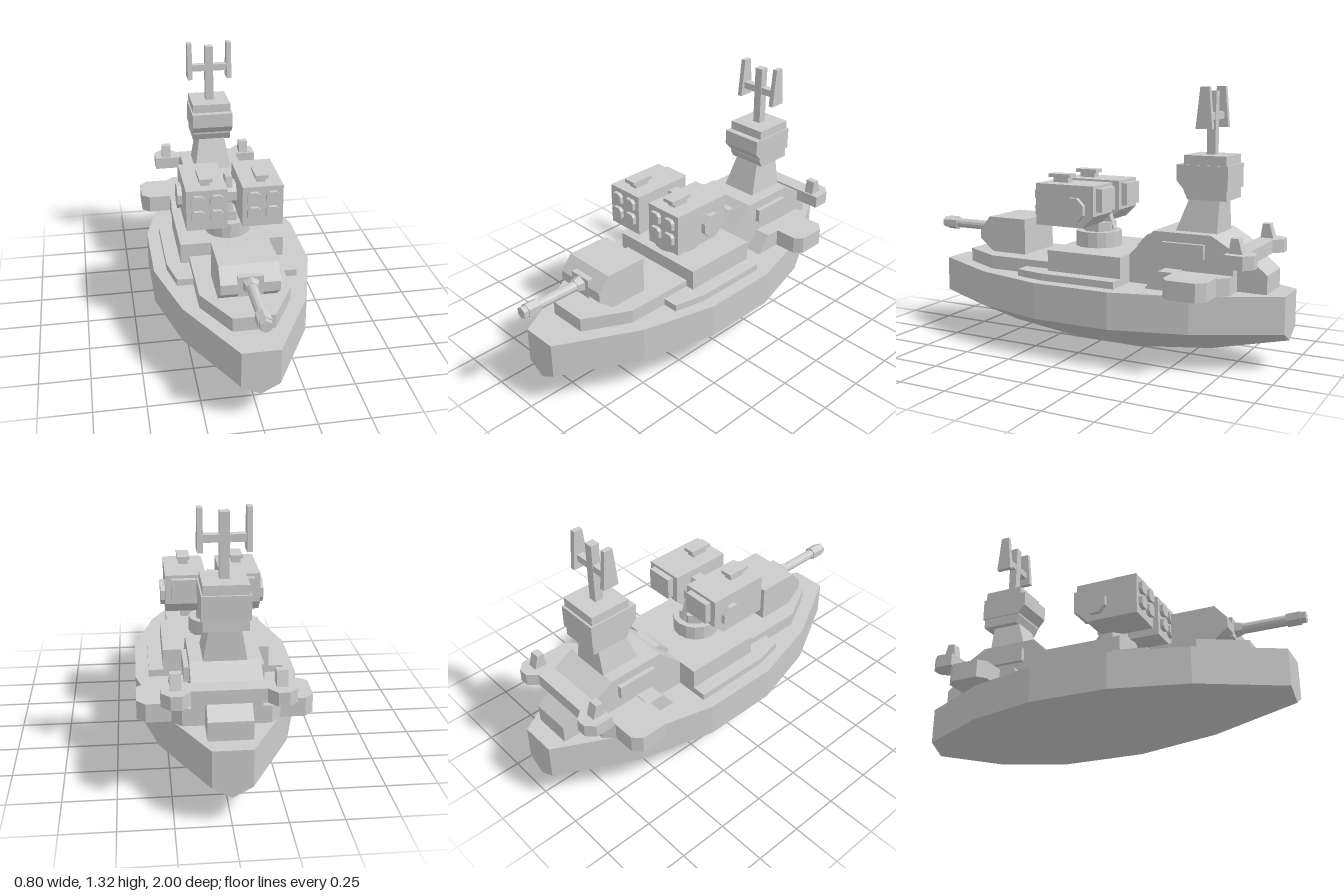
import * as THREE from 'three';

const grey = new THREE.MeshStandardMaterial({ color: 0xcccccc, flatShading: true });

export function createModel() {
  const root = new THREE.Group();

  const add = (name, geo, x = 0, y = 0, z = 0) => {
    const m = new THREE.Mesh(geo, grey);
    m.name = name;
    m.position.set(x, y, z);
    root.add(m);
    return m;
  };
  // Box given by its limits
  const box = (name, x0, x1, y0, y1, z0, z1) =>
    add(name, new THREE.BoxGeometry(x1 - x0, y1 - y0, z1 - z0), (x0 + x1) / 2, (y0 + y1) / 2, (z0 + z1) / 2);
  const shapeOf = pts => new THREE.Shape(pts.map(p => new THREE.Vector2(p[0], p[1])));
  // Side profile of [z, y] points, spanning x0..x1
  const side = (name, pts, x0, x1) => {
    const g = new THREE.ExtrudeGeometry(shapeOf(pts), { depth: x1 - x0, bevelEnabled: false });
    return add(name, g.rotateY(-Math.PI / 2), x1);
  };
  // Plan outline of [x, z] points, spanning y0..y1
  const plan = (name, pts, y0, y1) => {
    const g = new THREE.ExtrudeGeometry(shapeOf(pts.map(([x, z]) => [x, -z])), { depth: y1 - y0, bevelEnabled: false });
    return add(name, g.rotateX(-Math.PI / 2), 0, y0);
  };
  // Completes a half outline (x > 0) with its mirror image
  const both = half => [...half, ...half.map(([x, z]) => [-x, z]).reverse()];
  // Stack of cross-sections, each a loop of points counterclockwise from +z, ordered front to back
  const loft = (name, sections) => {
    const n = sections[0].length, idx = [], last = (sections.length - 1) * n;
    for (let i = 0; i < sections.length - 1; i++)
      for (let j = 0; j < n; j++) {
        const a = i * n + j, b = i * n + (j + 1) % n;
        idx.push(a, b + n, b, a, a + n, b + n);
      }
    for (let j = 1; j < n - 1; j++) idx.push(0, j, j + 1, last, last + j + 1, last + j);
    const g = new THREE.BufferGeometry();
    g.setAttribute('position', new THREE.Float32BufferAttribute(sections.flat(2), 3));
    g.setIndex(idx);
    const flat = g.toNonIndexed();
    flat.computeVertexNormals();
    return add(name, flat);
  };

  // Hull: slab sides over a shallow V bottom
  const stations = [
    [0.92, 0.09, 0.14], [0.53, 0.3, 0.045], [0.16, 0.4, 0],
    [-0.24, 0.4, 0], [-0.61, 0.3, 0.045], [-1, 0.09, 0.14],
  ];
  loft('hull', stations.map(([z, w, k]) =>
    [[w, 0.37, z], [-w, 0.37, z], [-w, 0.19, z], [0, k, z], [w, 0.19, z]]));

  // Decks
  plan('foredeck', both([[0.1, 0.75], [0.22, 0.53], [0.22, -0.24]]), 0.37, 0.44);
  plan('sideDeck', both([[0.3, 0.32], [0.335, 0.16], [0.335, -0.24]]), 0.37, 0.405);
  box('raisedDeck', -0.263, 0.263, 0.405, 0.51, -0.24, 0.165);

  // Superstructure
  side('deckhouse', [[-0.24, 0.37], [-0.24, 0.51], [-0.365, 0.635], [-0.66, 0.635], [-0.77, 0.57], [-0.77, 0.37]], -0.16, 0.16);
  side('bridgeWindow', [[-0.25, 0.52], [-0.24, 0.54], [-0.295, 0.6], [-0.33, 0.6]], -0.075, 0.075);
  side('sternHouse', [[-0.74, 0.37], [-0.74, 0.57], [-0.83, 0.53], [-0.915, 0.46], [-0.915, 0.37]], -0.1, 0.1);
  plan('aftPlatform', both([[0.24, -0.77], [0.295, -0.77], [0.295, -0.86], [0.255, -0.9], [0.205, -0.9], [0.165, -0.855]]), 0.515, 0.58);

  for (const s of [-1, 1]) {
    const span = (a, b) => (s > 0 ? [a, b] : [-b, -a]);
    side('sideHouseRamp', [[-0.36, 0.37], [-0.43, 0.46], [-0.52, 0.46], [-0.52, 0.37]], ...span(0.15, 0.245));
    plan('sideHouse', [[0.15, -0.5], [0.245, -0.5], [0.245, -0.72], [0.2, -0.77], [0.15, -0.77]].map(([x, z]) => [s * x, z]), 0.37, 0.455);
    plan('sponson', [[0.22, -0.505], [0.36, -0.505], [0.4, -0.54], [0.4, -0.68], [0.36, -0.72], [0.22, -0.72]].map(([x, z]) => [s * x, z]), 0.37, 0.46);
    box('sidePanel', ...span(0.15, 0.183), 0.52, 0.59, -0.63, -0.42);
    side('aftPost', [[-0.78, 0.58], [-0.79, 0.65], [-0.825, 0.65], [-0.845, 0.58]], ...span(0.205, 0.255));
  }

  // Tower, tapering towards the cabin
  const tower = new THREE.BoxGeometry(1, 1, 1);
  const tp = tower.attributes.position;
  for (let i = 0; i < tp.count; i++) {
    const top = tp.getY(i) > 0;
    tp.setXYZ(i, Math.sign(tp.getX(i)) * (top ? 0.07 : 0.1), top ? 0.8 : 0.63,
      tp.getZ(i) > 0 ? (top ? -0.515 : -0.455) : -0.665);
  }
  add('tower', tower);
  side('cabin', [[-0.495, 1], [-0.495, 0.83], [-0.515, 0.79], [-0.71, 0.79], [-0.705, 1]], -0.103, 0.103);
  side('cabinBand', [[-0.46, 0.955], [-0.46, 0.88], [-0.495, 0.84], [-0.717, 0.84], [-0.717, 0.955]], -0.11, 0.11);

  // Mast with two tapered aerials
  box('mast', -0.022, 0.022, 1, 1.3, -0.62, -0.577);
  box('mastCrossbar', -0.1, 0.1, 1.165, 1.2, -0.618, -0.58);
  for (const x of [-0.12, 0.095])
    side('aerial', [[-0.557, 1.125], [-0.578, 1.32], [-0.622, 1.32], [-0.64, 1.125]], x, x + 0.025);

  // Bow gun
  side('gunTurret', [[0.66, 0.56], [0.6, 0.63], [0.38, 0.63], [0.38, 0.445], [0.58, 0.445], [0.66, 0.51]], -0.14, 0.14);
  side('gunMantlet', [[0.58, 0.595], [0.66, 0.595], [0.66, 0.495], [0.58, 0.495]], -0.06, 0.06);
  const rod = (name, r0, r1, sides, z0, z1) =>
    add(name, new THREE.CylinderGeometry(r1, r0, z1 - z0, sides).rotateX(Math.PI / 2), 0, 0.553, (z0 + z1) / 2);
  rod('gunCollar', 0.045, 0.032, 6, 0.65, 0.695);
  rod('gunBarrel', 0.026, 0.026, 12, 0.66, 0.93);
  rod('gunMuzzle', 0.036, 0.036, 6, 0.91, 0.975);
  rod('gunMuzzleTip', 0.03, 0.03, 6, 0.975, 1);

  // Missile launcher mount
  add('launcherBase', new THREE.CylinderGeometry(0.118, 0.118, 0.08, 16), 0, 0.548, 0.015);
  add('launcherNeck', new THREE.CylinderGeometry(0.085, 0.085, 0.06, 8).rotateY(Math.PI / 8), 0, 0.605, 0.01);
  side('launcherFin', [[0.09, 0.6], [0.06, 0.82], [0, 0.82], [-0.08, 0.6]], -0.017, 0.017);
  add('launcherAxle', new THREE.CylinderGeometry(0.064, 0.064, 0.524, 8).rotateY(Math.PI / 8).rotateZ(Math.PI / 2), 0, 0.72, 0.025);

  // Missile boxes with four capped cells each
  const h = 0.0325, c = 0.014;
  const cell = shapeOf([[-h + c, -h], [h - c, -h], [h, -h + c], [h, h - c], [h - c, h], [-h + c, h], [-h, h - c], [-h, -h + c]]);
  const cellGeo = new THREE.ExtrudeGeometry(cell, { depth: 0.03, bevelEnabled: false });
  for (const s of [-1, 1]) {
    const mid = s * 0.138;
    side('missileBox', [[0.245, 0.63], [0.245, 0.84], [-0.08, 0.84], [-0.08, 0.69], [-0.02, 0.63]], mid - 0.101, mid + 0.101);
    box('missileBoxRearPlate', mid - 0.07, mid + 0.07, 0.71, 0.825, -0.112, -0.07);
    box('hatchBase', mid - 0.022, mid + 0.022, 0.835, 0.87, 0.105, 0.19);
    box('hatchLid', mid - 0.032, mid + 0.032, 0.865, 0.883, 0.09, 0.212);
    for (const dx of [-0.046, 0.046])
      for (const y of [0.703, 0.783]) add('missileCell', cellGeo, mid + dx, y, 0.235);
  }

  return root;
}
